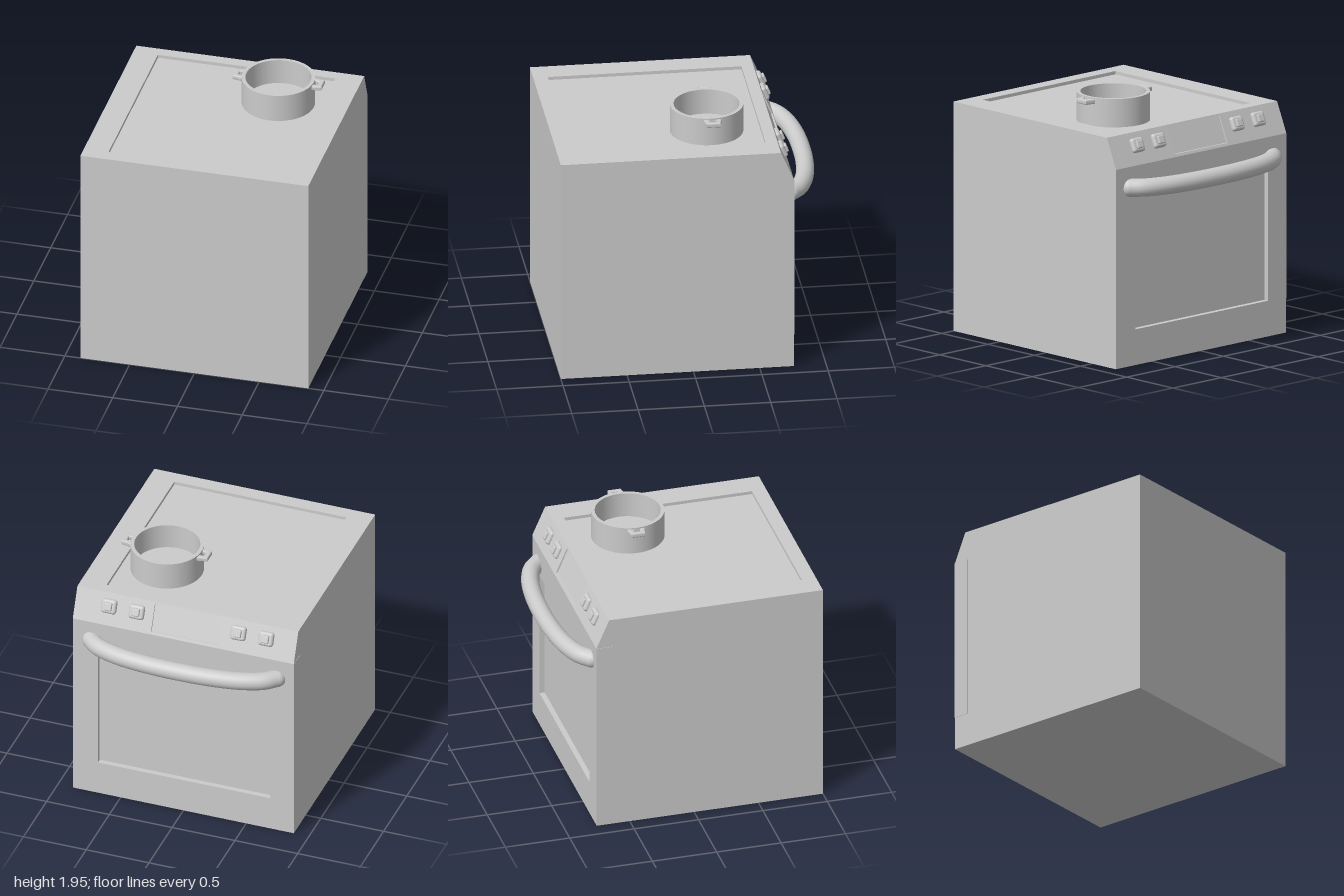
import * as THREE from 'three';
import { RoundedBoxGeometry } from 'three/addons/geometries/RoundedBoxGeometry.js';

const grey = new THREE.MeshStandardMaterial({ color: 0xcccccc });

function add(parent, name, geometry) {
  const mesh = new THREE.Mesh(geometry, grey);
  mesh.name = name;
  parent.add(mesh);
  return mesh;
}

// Box given by its lower and upper corners
function boxBetween([x0, y0, z0], [x1, y1, z1]) {
  return new THREE.BoxGeometry(x1 - x0, y1 - y0, z1 - z0)
    .translate((x0 + x1) / 2, (y0 + y1) / 2, (z0 + z1) / 2);
}

const polygon = (points) => new THREE.Shape(points.map(([a, b]) => new THREE.Vector2(a, b)));
const rect = (x0, y0, x1, y1) => polygon([[x0, y0], [x1, y0], [x1, y1], [x0, y1]]);

// Side profile of (z, y) points swept from x0 to x1
function prism(profile, x0, x1) {
  return new THREE.ExtrudeGeometry(polygon(profile), { depth: x1 - x0, bevelEnabled: false })
    .rotateY(-Math.PI / 2).translate(x1, 0, 0);
}

export function createModel() {
  const stove = new THREE.Group();
  stove.name = 'stove';
  const W = 0.88;

  // Cabinet, with the drawer front below the door
  add(stove, 'cabinet', boxBetween([-W, 0, -0.635], [W, 1.735, 1]));
  add(stove, 'drawerFront', boxBetween([-W, 0, -0.757], [W, 0.26, -0.635]));

  // Raised rim around the sunken cooktop
  const rim = rect(-W, -1, W, 0.635);
  rim.holes.push(rect(-0.69, -0.89, 0.68, 0.57));
  add(stove, 'cooktopRim', new THREE.ExtrudeGeometry(rim, { depth: 0.025, bevelEnabled: false })
    .rotateX(-Math.PI / 2).translate(0, 1.735, 0));

  // Sloped control panel with a sunken display in the middle
  const slope = [[-0.635, 1.53], [-0.76, 1.53], [-0.66, 1.76], [-0.635, 1.76]];
  const sunken = [[-0.635, 1.53], [-0.76, 1.53], [-0.751, 1.55], [-0.737, 1.55],
    [-0.655, 1.745], [-0.666, 1.745], [-0.66, 1.76], [-0.635, 1.76]];
  add(stove, 'controlPanelRight', prism(slope, -W, -0.28));
  add(stove, 'display', prism(sunken, -0.28, 0.26));
  add(stove, 'controlPanelLeft', prism(slope, 0.26, W));

  // Knobs standing square to the slope
  for (const x of [-0.64, -0.42, 0.39, 0.61]) {
    const knob = new THREE.Group();
    knob.name = 'knob';
    add(knob, 'knobBase', new RoundedBoxGeometry(0.12, 0.11, 0.05, 4, 0.022));
    add(knob, 'knobGrip', new RoundedBoxGeometry(0.06, 0.06, 0.03, 3, 0.008).translate(0, 0, 0.027));
    knob.position.set(x, 1.668, -0.704);
    knob.rotation.x = Math.atan2(-0.4, -0.917);
    stove.add(knob);
  }

  // Oven door: backing slab and a front frame around the window
  const door = new THREE.Group();
  door.name = 'ovenDoor';
  stove.add(door);
  add(door, 'window', boxBetween([-0.883, 0.26, -0.72], [W, 1.53, -0.635]));
  const frame = rect(-0.883, 0.26, W, 1.53);
  frame.holes.push(rect(-0.69, 0.275, 0.68, 1.29));
  add(door, 'doorFrame', new THREE.ExtrudeGeometry(frame, { depth: 0.04, bevelEnabled: false })
    .translate(0, 0, -0.76));

  // Bowed door handle with rounded ends
  const half = [[0.74, -0.755], [0.66, -0.825], [0.5, -0.885], [0.27, -0.921]];
  const path = [...half.map(([x, z]) => [-x, z]), [0, -0.932], ...half.reverse()]
    .map(([x, z]) => new THREE.Vector3(x - 0.005, 1.37, z));
  add(door, 'doorHandle', new THREE.TubeGeometry(new THREE.CatmullRomCurve3(path), 64, 0.068, 24));
  for (const end of [path[0], path[path.length - 1]]) {
    add(door, 'handleEnd', new THREE.SphereGeometry(0.068, 24, 16)).position.copy(end);
  }

  // Open pot on the cooktop
  const pot = new THREE.Group();
  pot.name = 'pot';
  pot.position.set(0.345, 1.735, -0.17);
  stove.add(pot);
  const outline = (points) => points.map(([r, y]) => new THREE.Vector2(r, y));
  const wall = [
    ['potWall', [[0.275, 0], [0.275, 0.218]]],
    ['potLip', [[0.275, 0.218], [0.247, 0.218]]],
    ['potInside', [[0.247, 0.218], [0.247, 0.02]]],
    ['potFloor', [[0.247, 0.02], [0, 0.02]]],
  ];
  for (const [name, points] of wall) add(pot, name, new THREE.LatheGeometry(outline(points), 64));

  // Looped side handles, tapering outwards
  for (const side of [-1, 1]) {
    const loop = polygon([[0.255, -0.063], [0.335, -0.045], [0.335, 0.045], [0.255, 0.063]]);
    loop.holes.push(polygon([[0.268, -0.035], [0.268, 0.035], [0.315, 0.028], [0.315, -0.028]]));
    const handle = add(pot, 'potHandle', new THREE.ExtrudeGeometry(loop, {
      depth: 0.016, bevelThickness: 0.01, bevelSize: 0.008, bevelSegments: 3,
    }).rotateX(-Math.PI / 2).translate(0, 0.182, 0));
    handle.position.z = -0.01;
    if (side < 0) handle.rotation.y = Math.PI;
  }

  return stove;
}
